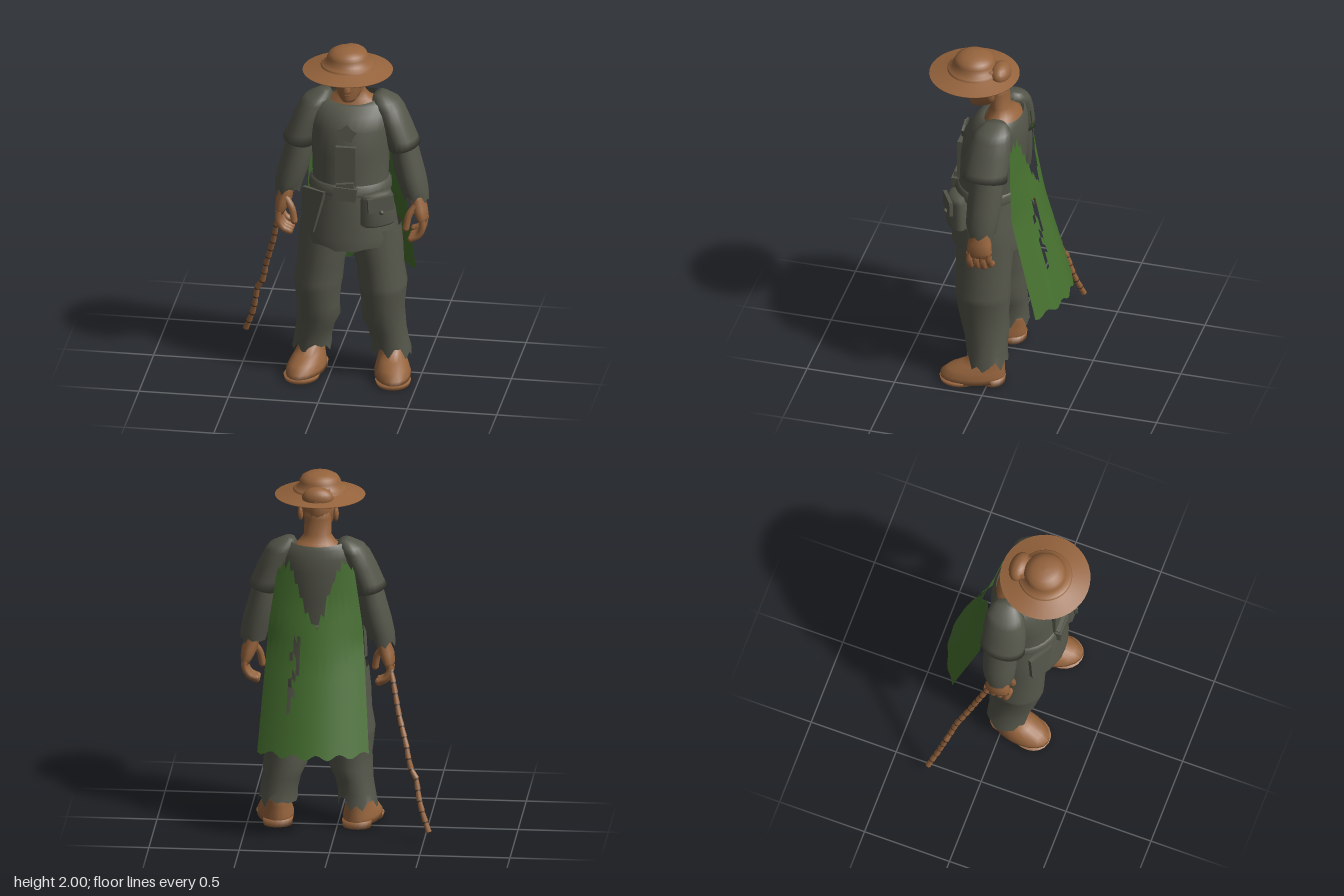
import * as THREE from 'three';

const CX = 0.11; // the body stands to the side of the walking stick
const cloth = new THREE.MeshStandardMaterial({ name: 'cloth', color: 0x55564a, side: THREE.DoubleSide });
const skin = new THREE.MeshStandardMaterial({ name: 'brown', color: 0x96643d, side: THREE.DoubleSide });
const green = new THREE.MeshStandardMaterial({ name: 'green', color: 0x46702f, side: THREE.DoubleSide });
const dark = new THREE.MeshStandardMaterial({ name: 'darkBrown', color: 0x4a3120 });
const V = (x, y, z) => new THREE.Vector3(x, y, z);
const rand = (i) => { const s = Math.sin(i * 91.7 + 3.1) * 4375.5; return s - Math.floor(s); };

function add(parent, name, geo, mat, x = 0, y = 0, z = 0) {
  const m = new THREE.Mesh(geo, mat);
  m.name = name;
  m.position.set(x, y, z);
  parent.add(m);
  return m;
}

// Loft through level rings [y, cx, cz, rx, rz], lowest first; shift(ring, angle, j) moves edge heights
function loft(rings, { n = 20, cap = true, shift = () => 0 } = {}) {
  const pos = [], idx = [];
  rings.forEach(([y, cx, cz, rx, rz], i) => {
    for (let j = 0; j < n; j++) {
      const a = (j / n) * Math.PI * 2;
      pos.push(cx + rx * Math.cos(a), y + shift(i, a, j), cz + rz * Math.sin(a));
    }
  });
  for (let i = 0; i < rings.length - 1; i++) for (let j = 0; j < n; j++) {
    const a = i * n + j, b = i * n + (j + 1) % n;
    idx.push(a, a + n, b, b, a + n, b + n);
  }
  if (cap) {
    const last = rings.length - 1, c = pos.length / 3;
    for (const r of [rings[0], rings[last]]) pos.push(r[1], r[0], r[2]);
    for (let j = 0; j < n; j++) {
      const k = (j + 1) % n;
      idx.push(c, j, k, c + 1, last * n + k, last * n + j);
    }
  }
  const g = new THREE.BufferGeometry();
  g.setAttribute('position', new THREE.Float32BufferAttribute(pos, 3));
  g.setIndex(idx);
  g.computeVertexNormals();
  return g;
}
const side = (s, rings) => rings.map(([y, cx, ...r]) => [y, cx * s, ...r]);
const tube = (pts, r) => new THREE.TubeGeometry(new THREE.CatmullRomCurve3(pts), 8, r, 7);

// Piecewise linear lookup in [key, value] pairs
function lookup(t, y) {
  for (let i = 1; i < t.length; i++) if (y <= t[i][0] || i === t.length - 1) {
    const [a, b] = [t[i - 1], t[i]];
    return a[1] + (b[1] - a[1]) * (y - a[0]) / (b[0] - a[0]);
  }
}

function makeHead(body) {
  const head = new THREE.Group();
  head.name = 'head';
  body.add(head);
  add(head, 'neck', loft([[1.58, 0, -0.015, 0.17, 0.11], [1.625, 0, -0.02, 0.15, 0.095], [1.65, 0, -0.01, 0.105, 0.075],
    [1.69, 0, 0, 0.075, 0.055], [1.78, 0, 0.01, 0.075, 0.06], [1.86, 0, 0.01, 0.075, 0.06]]), skin);
  add(head, 'skull', loft([[1.675, 0, 0.13, 0.035, 0.04], [1.695, 0, 0.11, 0.055, 0.065], [1.735, 0, 0.085, 0.075, 0.09],
    [1.78, 0, 0.065, 0.088, 0.112], [1.825, 0, 0.06, 0.094, 0.115], [1.88, 0, 0.06, 0.092, 0.118],
    [1.93, 0, 0.05, 0.06, 0.085]]), skin);
  add(head, 'nose', loft([[1.742, 0, 0.175, 0.02, 0.025], [1.755, 0, 0.188, 0.024, 0.034],
    [1.785, 0, 0.178, 0.014, 0.026], [1.83, 0, 0.168, 0.012, 0.014]], { n: 8 }), skin);
  add(head, 'mouth', new THREE.SphereGeometry(1, 10, 6), skin, 0, 1.717, 0.155).scale.set(0.032, 0.01, 0.022);
  for (const s of [-1, 1]) {
    add(head, 'brow', new THREE.BoxGeometry(0.058, 0.014, 0.03), skin, s * 0.042, 1.824, 0.155).rotation.set(0, s * 0.35, s * 0.22);
    add(head, 'cheek', new THREE.SphereGeometry(1, 8, 6), skin, s * 0.055, 1.775, 0.135).scale.set(0.025, 0.018, 0.022);
    add(head, 'ear', new THREE.SphereGeometry(1, 8, 8), skin, s * 0.098, 1.795, 0.035).scale.set(0.016, 0.044, 0.028);
  }
  add(head, 'hairBun', new THREE.SphereGeometry(1, 16, 12), skin, 0, 1.895, 0).scale.set(0.088, 0.06, 0.057);

  // Wide straw hat
  const profile = [[0, 1.875], [0.15, 1.875], [0.248, 1.864], [0.25, 1.869], [0.15, 1.893], [0.15, 1.902], [0.143, 1.909],
    [0.118, 1.922], [0.114, 1.95], [0.1, 1.974], [0.07, 1.991], [0.035, 1.998], [0, 2]];
  add(head, 'hat', new THREE.LatheGeometry(profile.map((p) => new THREE.Vector2(...p)), 40), skin, 0, 0, 0.15);
}

function makeClothes(body) {
  // Tunic with a scooped neckline and uneven hem
  add(body, 'tunic', loft([[0.835, 0, 0.055, 0.262, 0.212], [0.88, 0, 0.055, 0.268, 0.212], [1, 0, 0.055, 0.25, 0.195],
    [1.12, 0, 0.058, 0.222, 0.182], [1.2, 0, 0.05, 0.21, 0.175], [1.35, 0, 0.04, 0.216, 0.18], [1.5, 0, 0.025, 0.23, 0.175],
    [1.575, 0, 0.005, 0.23, 0.15], [1.625, 0, -0.01, 0.205, 0.125], [1.668, 0, -0.02, 0.16, 0.105]], {
    n: 32, cap: false,
    shift: (i, a, j) => i === 0 ? 0.03 * Math.cos(a) ** 2 - 0.015 + 0.015 * (rand(j) - 0.5)
      : i === 9 ? -0.045 * Math.max(0, Math.sin(a)) - 0.02 * Math.max(0, -Math.sin(a)) : 0,
  }), cloth);
  add(body, 'belt', loft([[1.135, 0, 0.058, 0.225, 0.186], [1.145, 0, 0.058, 0.232, 0.194],
    [1.185, 0, 0.054, 0.226, 0.188], [1.195, 0, 0.052, 0.212, 0.178]], { n: 28, cap: false }), cloth);

  // Front panel, buckle pouch and leaf shaped patch
  add(body, 'frontPanel', new THREE.BoxGeometry(0.115, 0.26, 0.03), cloth, 0, 1.3, 0.218);
  add(body, 'bucklePouch', new THREE.BoxGeometry(0.13, 0.075, 0.04), cloth, 0, 1.16, 0.245).rotation.z = -0.08;
  add(body, 'buckleFlap', new THREE.BoxGeometry(0.1, 0.04, 0.03), cloth, 0, 1.2, 0.24).rotation.z = 0.1;
  const leaf = new THREE.Shape();
  for (let i = 0; i < 10; i++) {
    const a = i / 10 * Math.PI * 2 + 0.2, r = i % 2 ? 0.044 : 0.064;
    leaf[i ? 'lineTo' : 'moveTo'](r * Math.cos(a), 0.85 * r * Math.sin(a));
  }
  add(body, 'chestPatch', new THREE.ExtrudeGeometry(leaf, { depth: 0.012, bevelEnabled: false }), cloth, 0, 1.5, 0.198).rotation.x = -0.12;

  // Hip bag with flap, and the hanging flap on the other hip
  const bag = new THREE.Group();
  bag.name = 'hipBag';
  bag.position.set(0.175, 1.065, 0.2);
  bag.rotation.set(0, 0.5, 0.06);
  body.add(bag);
  add(bag, 'bagBody', loft([[-0.095, 0, 0, 0.09, 0.045], [-0.08, 0, 0, 0.105, 0.06], [0.07, 0, 0, 0.095, 0.055],
    [0.095, 0, 0, 0.08, 0.035]], { n: 12 }), cloth);
  add(bag, 'bagFlap', new THREE.BoxGeometry(0.15, 0.085, 0.02), cloth, 0, 0.045, 0.052);
  add(bag, 'bagToggle', new THREE.SphereGeometry(0.014, 8, 6), cloth, 0, 0, 0.065);
  const flap = new THREE.Shape([[-0.07, 0.12], [0.085, 0.12], [0.01, -0.13], [-0.08, -0.1]].map((p) => new THREE.Vector2(...p)));
  const f = add(body, 'hipFlap', new THREE.ExtrudeGeometry(flap, { depth: 0.025, bevelEnabled: false }), cloth, -0.18, 1.03, 0.185);
  f.rotation.set(-0.08, -0.55, 0);
}

function makeLimbs(body, s) {
  const limb = new THREE.Group();
  limb.name = s > 0 ? 'leftLimbs' : 'rightLimbs';
  body.add(limb);
  const ragged = (amount) => ({ cap: false, shift: (i, a, j) => i === 0 ? amount * (rand(j + s * 7) - 0.5) : 0 });
  add(limb, 'shortSleeve', loft(side(s, [[1.375, 0.295, 0.01, 0.088, 0.128], [1.43, 0.275, 0.008, 0.09, 0.125],
    [1.52, 0.24, 0.002, 0.088, 0.122], [1.6, 0.205, -0.008, 0.085, 0.108], [1.635, 0.185, -0.014, 0.077, 0.092],
    [1.668, 0.16, -0.02, 0.035, 0.055]]), { shift: (i, a) => i === 0 ? -0.02 * s * Math.cos(a) * -1 : 0 }), cloth);
  add(limb, 'longSleeve', loft(side(s, [[1.07, 0.358, 0.01, 0.072, 0.08], [1.12, 0.35, 0.01, 0.078, 0.09],
    [1.21, 0.325, 0.005, 0.085, 0.095], [1.32, 0.3, 0, 0.08, 0.095], [1.42, 0.285, 0, 0.07, 0.09]]), ragged(0.045)), cloth);

  // Hand with loosely curled fingers
  add(limb, 'palm', loft(side(s, [[0.925, 0.398, 0.012, 0.022, 0.066], [0.96, 0.392, 0.014, 0.036, 0.072],
    [1.01, 0.378, 0.015, 0.045, 0.066], [1.06, 0.365, 0.012, 0.04, 0.048], [1.12, 0.355, 0.01, 0.04, 0.045]]), { n: 12 }), skin);
  for (let i = 0; i < 4; i++) {
    const z = 0.068 - i * 0.037, d = i === 3 ? 0.02 : 0;
    add(limb, 'finger', tube([V(s * 0.4, 0.95, z), V(s * 0.402, 0.895 + d, z), V(s * 0.375, 0.85 + d, z), V(s * 0.338, 0.833 + d, z)], 0.0185), skin);
    add(limb, 'fingerTip', new THREE.SphereGeometry(0.0185, 7, 6), skin, s * 0.338, 0.833 + d, z);
  }
  add(limb, 'thumb', tube([V(s * 0.365, 1.03, 0.05), V(s * 0.328, 0.975, 0.068), V(s * 0.312, 0.9, 0.075)], 0.02), skin);
  add(limb, 'thumbTip', new THREE.SphereGeometry(0.02, 7, 6), skin, s * 0.312, 0.9, 0.075);

  // Baggy trousers with torn cuffs
  add(limb, 'trouserLeg', loft(side(s, [[0.145, 0.222, 0.012, 0.112, 0.115], [0.2, 0.216, 0.018, 0.104, 0.115],
    [0.28, 0.2, 0.025, 0.107, 0.122], [0.345, 0.182, 0.035, 0.122, 0.135], [0.42, 0.182, 0.045, 0.118, 0.14],
    [0.53, 0.182, 0.05, 0.13, 0.155], [0.57, 0.18, 0.05, 0.136, 0.155], [0.68, 0.165, 0.05, 0.132, 0.155],
    [0.8, 0.148, 0.05, 0.144, 0.16], [0.92, 0.14, 0.05, 0.14, 0.155]]), ragged(0.075)), cloth);

  // Boot, toes turned out
  const boot = new THREE.Group();
  boot.name = 'boot';
  boot.position.set(s * 0.222, 0, 0);
  boot.rotation.y = s * 0.2;
  limb.add(boot);
  add(boot, 'bootUpper', loft([[0.018, 0, 0.095, 0.1, 0.18], [0.05, 0, 0.094, 0.101, 0.18], [0.085, 0, 0.075, 0.09, 0.158],
    [0.115, 0, 0.04, 0.078, 0.122], [0.145, 0, 0.012, 0.07, 0.094], [0.2, 0, 0.005, 0.065, 0.08]]), skin);
  add(boot, 'toeSole', loft([[0, 0, 0.165, 0.092, 0.108], [0.025, 0, 0.165, 0.1, 0.114]]), skin);
  add(boot, 'heel', loft([[0, 0, -0.015, 0.08, 0.07], [0.04, 0, -0.015, 0.084, 0.073]]), skin);
}

// Tattered cape: a curved sheet with a notched top and missing squares
function makeCape(body) {
  const cols = 28, rows = 20, pos = [], idx = [];
  const width = [[0.5, 0.31], [1.2, 0.26], [1.6, 0.2]];
  const middle = [[0.5, -0.4], [1, -0.26], [1.34, -0.185], [1.6, -0.155]];
  const edge = [[0.5, -0.285], [1.1, -0.135], [1.5, -0.11], [1.6, -0.105]];
  for (let c = 0; c <= cols; c++) for (let r = 0; r <= rows; r++) {
    const t = c / cols * 2 - 1, u = Math.abs(t);
    const top = 1.2 + 0.38 * Math.min(1, u / 0.7) - 0.2 * Math.max(0, u - 0.7) + (c % 2 ? -0.05 : 0.03) * rand(c);
    const bottom = 0.51 + 0.015 * Math.sin(c * 1.1);
    const y = bottom + (top - bottom) * r / rows, mid = lookup(middle, y);
    pos.push(t * lookup(width, y), y, mid + (lookup(edge, y) - mid) * t * t);
  }
  const hole = (c, r) => (c === 18 && r >= 10 && r <= 14) || (c === 19 && (r === 9 || r === 12 || r === 13))
    || (c === 20 && r >= 5 && r <= 8) || (c === 19 && r === 7) || (c === 20 && r === 11);
  for (let c = 0; c < cols; c++) for (let r = 0; r < rows; r++) {
    if (hole(c, r)) continue;
    const a = c * (rows + 1) + r, b = a + rows + 1;
    idx.push(a, a + 1, b, b, a + 1, b + 1);
  }
  const g = new THREE.BufferGeometry();
  g.setAttribute('position', new THREE.Float32BufferAttribute(pos, 3));
  g.setIndex(idx);
  g.computeVertexNormals();
  add(body, 'cape', g, green);
}

// Crooked walking stick of short tapered joints
function makeStick(root) {
  const stick = new THREE.Group();
  stick.name = 'walkingStick';
  root.add(stick);
  const path = new THREE.CurvePath();
  const pts = [V(-0.285, 0.97, -0.02), V(-0.31, 0.88, -0.055), V(-0.35, 0.69, -0.115), V(-0.405, 0.5, -0.185),
    V(-0.415, 0.42, -0.2), V(-0.455, 0.36, -0.22), V(-0.48, 0.21, -0.255), V(-0.532, 0.07, -0.298)];
  for (let i = 1; i < pts.length; i++) path.add(new THREE.LineCurve3(pts[i - 1], pts[i]));
  const n = 16;
  for (let i = 0; i < n; i++) {
    const a = path.getPoint(i / n), b = path.getPoint((i + 1) / n), d = b.clone().sub(a), len = d.length();
    const q = new THREE.Quaternion().setFromUnitVectors(V(0, 1, 0), d.normalize());
    const m = add(stick, 'joint', new THREE.CylinderGeometry(0.017, 0.013, len * 1.06, 8), skin, ...a.clone().lerp(b, 0.5));
    m.quaternion.copy(q);
    add(stick, 'jointBand', new THREE.CylinderGeometry(0.0165, 0.015, len * 0.22, 8), dark, ...a.clone().lerp(b, 0.06)).quaternion.copy(q);
  }
}

export function createModel() {
  const root = new THREE.Group();
  root.name = 'traveller';
  const body = new THREE.Group();
  body.name = 'body';
  body.position.x = CX;
  root.add(body);
  makeHead(body);
  makeClothes(body);
  for (const s of [-1, 1]) makeLimbs(body, s);
  makeCape(body);
  makeStick(root);
  return root;
}
